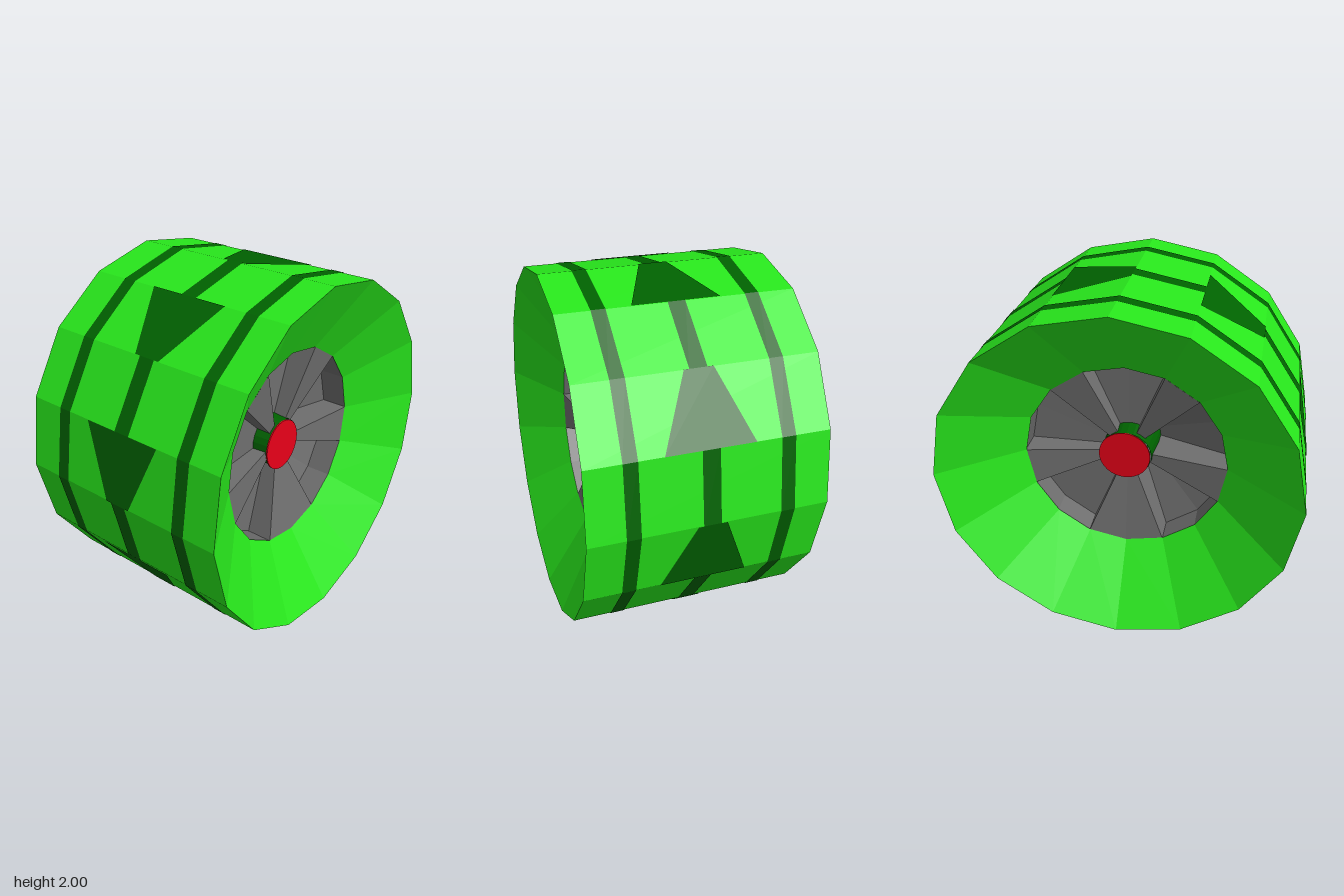
import * as THREE from 'three';

const SIDES = 16, STEP = (Math.PI * 2) / SIDES, R = 0.993;
// Facets, counted each way from the top, that carry a raised spoke
const SPOKE_FACETS = [1, 4, 7];
const RIM_SHIFT = 0.048;

function mat(name, color) {
  const m = new THREE.MeshStandardMaterial({ color, flatShading: true, side: THREE.DoubleSide });
  m.name = name;
  return m;
}

// Point on the wheel: x along the axle, angle a from front (+z) toward top (+y)
const at = (x, r, a) => [x, r * Math.sin(a), r * Math.cos(a)];

// Faceted surface from four-cornered faces
function quads(list) {
  const pos = [];
  for (const [a, b, c, d] of list) pos.push(...a, ...b, ...c, ...a, ...c, ...d);
  const g = new THREE.BufferGeometry();
  g.setAttribute('position', new THREE.Float32BufferAttribute(pos, 3));
  g.computeVertexNormals();
  return g;
}

// Turned part whose profile is given as [radius, x]
function turned(profile, sides) {
  const pts = profile.map(([r, x]) => new THREE.Vector2(r, x));
  return new THREE.LatheGeometry(pts, sides).rotateZ(-Math.PI / 2);
}

// Slight lean of a part, also lifting it on to the ground
const leaning = (ly, lz) => new THREE.Matrix4().set(
  1, ly, lz, 0,
  0.008, 1, 0, 1,
  0.008, 0, 1, 0,
  0, 0, 0, 1
);

function raised(k) {
  const n = (k - SIDES / 4 + SIDES) % SIDES;
  return SPOKE_FACETS.includes(Math.min(n, SIDES - 1 - n));
}

// Spoked rim on side s, with sunken wedges that run deeper on one half
function rim(s) {
  const rOut = 0.576, rIn = 0.13;
  const top = s * 0.335, wall = s * 0.18, hub = s * 0.25, deep = s * 0.02;
  const faces = [];
  for (let k = 0; k < SIDES; k++) {
    const a = k * STEP, b = a + STEP, up = raised(k);
    const floor = s * Math.cos((a + b) / 2) < -0.3 ? deep : s * 0.17;
    const outer = up ? top : wall, inner = up ? hub : floor;
    faces.push([at(outer, rOut, a), at(inner, rIn, a), at(inner, rIn, b), at(outer, rOut, b)]);
    // Outer wall of a sunken wedge
    if (!up) faces.push([at(top, rOut, a), at(wall, rOut, a), at(wall, rOut, b), at(top, rOut, b)]);
    // Side wall of a spoke
    if (up !== raised((k + 1) % SIDES)) {
      faces.push([at(top, rOut, b), at(hub, rIn, b), at(deep, rIn, b), at(wall, rOut, b)]);
    }
  }
  return quads(faces).translate(RIM_SHIFT, -0.002, -0.003);
}

export function createModel() {
  const green = mat('brightGreen', 0x28e81c);
  const dark = mat('darkGreen', 0x006200);
  const grey = mat('grey', 0x6e6e6e);
  const red = mat('red', 0xe60018);

  const wheel = new THREE.Group();
  wheel.name = 'wheel';
  const bodyLean = leaning(-0.0325, -0.01);
  const trimLean = leaning(-0.021, -0.006);
  function add(name, geometry, material, lean = bodyLean) {
    const mesh = new THREE.Mesh(geometry.applyMatrix4(lean), material);
    mesh.name = name;
    wheel.add(mesh);
  }

  // Tyre: flat tread with funnel-shaped sidewalls
  add('tyre', turned([[0.573, RIM_SHIFT - 0.335], [R, -0.628], [R, 0.628], [0.573, RIM_SHIFT + 0.335]], SIDES), green);

  // Three bands round the tread
  for (const [name, x, w] of [['rightBand', -0.402, 0.037], ['centreBand', 0.001, 0.046], ['leftBand', 0.399, 0.037]]) {
    add(name, turned([[R + 0.003, x - w], [R + 0.003, x + w]], SIDES), dark, trimLean);
  }

  // Tapered tread marks on every other facet
  const marks = [];
  for (let k = 0; k < SIDES; k += 2) {
    const a = k * STEP, b = a + STEP, r = R + 0.004;
    marks.push([at(-0.076, r, a), at(0.075, r, a), at(0.233, r, b), at(-0.232, r, b)]);
  }
  add('treadMarks', quads(marks), dark, trimLean);

  for (const s of [1, -1]) {
    const side = s > 0 ? 'left' : 'right';
    add(side + 'Rim', rim(s), grey);
    // Hub cap
    const cap = new THREE.CylinderGeometry(0.147, 0.147, 0.008, 32).rotateZ(Math.PI / 2);
    add(side + 'HubCap', cap.translate(s * 0.28 + 0.042, -0.004, s * 0.013), red);
  }

  // Axle, thicker toward the middle
  add('axle', turned([[0.14, -0.234], [0.155, -0.06], [0.155, 0.14], [0.14, 0.318]], 24), dark);

  return wheel;
}
